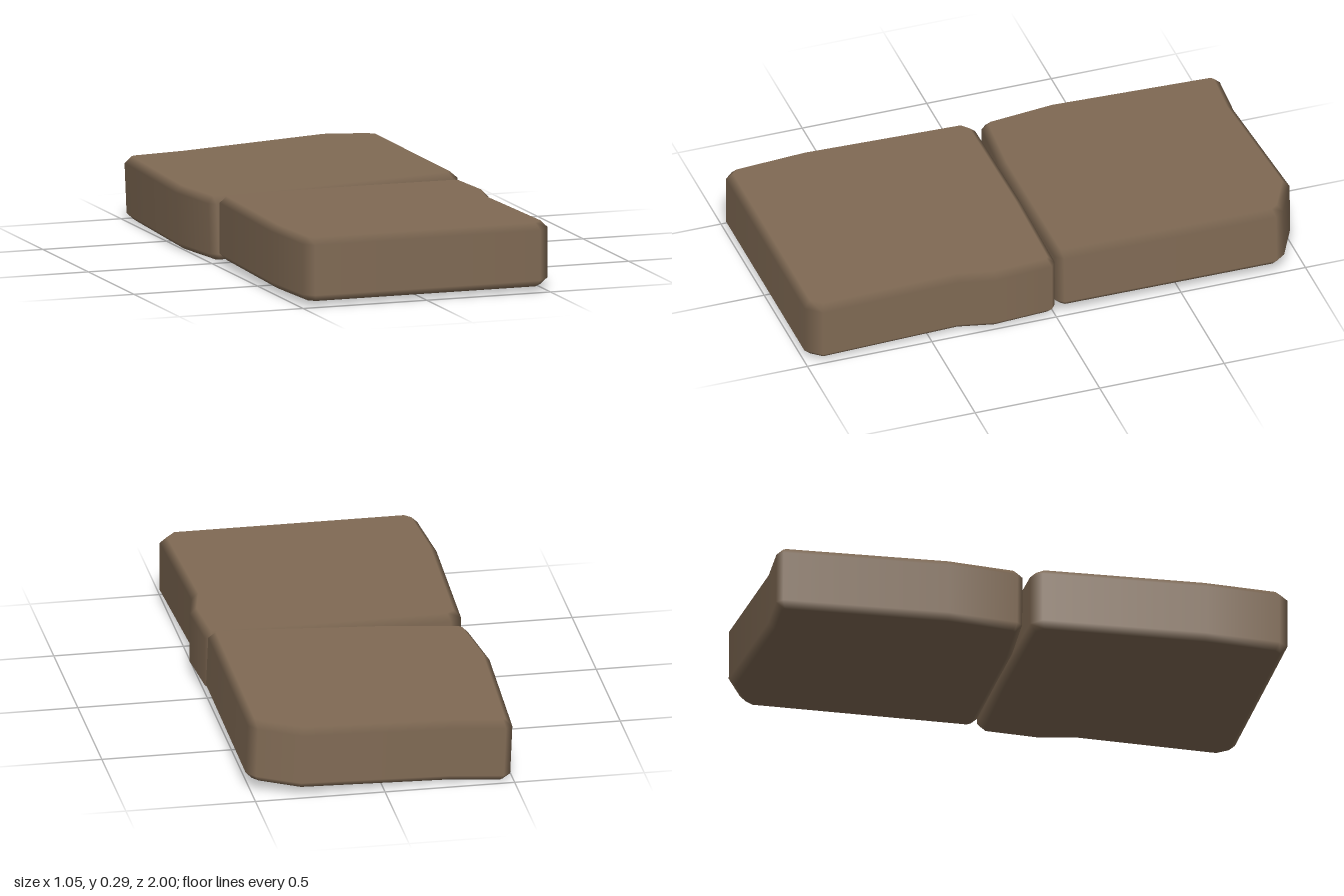
import * as THREE from 'three';

const BEVEL = 0.026;

// Outward normals and miter directions for a closed [x, z] outline
function outlineNormals(pts) {
  const n = pts.length;
  const edges = pts.map((p, i) => {
    const q = pts[(i + 1) % n];
    const e = new THREE.Vector2(q[1] - p[1], p[0] - q[0]);
    return { normal: e.clone().normalize(), length: e.length() };
  });
  return pts.map((_, i) => {
    const a = edges[(i + n - 1) % n], b = edges[i];
    const miter = a.normal.clone().add(b.normal);
    miter.multiplyScalar(2 / miter.lengthSq());
    const smooth = a.normal.clone().multiplyScalar(a.length)
      .addScaledVector(b.normal, b.length).normalize();
    return { miter, smooth };
  });
}

// Stone slab: irregular outline with a soft bevel around top and bottom
function slabGeometry(pts, height) {
  const n = pts.length, h = height / 2;
  const normals = outlineNormals(pts);
  const rings = [
    { y: -h, inset: BEVEL, up: -1 },
    { y: -h + BEVEL, inset: 0, up: 0 },
    { y: h - BEVEL, inset: 0, up: 0 },
    { y: h, inset: BEVEL, up: 1 },
  ];
  const pos = [], nor = [], index = [];
  for (const { y, inset, up } of rings) {
    pts.forEach(([x, z], i) => {
      const { miter, smooth } = normals[i];
      pos.push(x - miter.x * inset, y, z - miter.y * inset);
      if (up) nor.push(0, up, 0);
      else nor.push(smooth.x, 0, smooth.y);
    });
  }
  for (let k = 0; k < 3; k++) {
    for (let i = 0; i < n; i++) {
      const j = (i + 1) % n;
      const a = k * n + i, b = k * n + j, c = b + n, d = a + n;
      index.push(a, c, b, a, d, c);
    }
  }
  // Flat caps
  const cap = pts.map((_, i) => new THREE.Vector2(pos[i * 3], pos[i * 3 + 2]));
  for (const [a, b, c] of THREE.ShapeUtils.triangulateShape(cap, [])) {
    index.push(a, b, c, 3 * n + a, 3 * n + c, 3 * n + b);
  }
  const g = new THREE.BufferGeometry();
  g.setAttribute('position', new THREE.Float32BufferAttribute(pos, 3));
  g.setAttribute('normal', new THREE.Float32BufferAttribute(nor, 3));
  g.setIndex(index);
  return g;
}

export function createModel() {
  const group = new THREE.Group();
  group.name = 'pavingSlabs';
  const stone = new THREE.MeshStandardMaterial({ color: 0x806a54 });
  stone.name = 'brownStone';

  const slabs = [
    // Level slab at the front
    { name: 'frontSlab', y: 0.145, tilt: 0, outline: [
      [-0.485, 0.04], [-0.44, 0.0], [0.08, -0.008], [0.48, 0.0], [0.507, 0.02],
      [0.522, 0.25], [0.49, 0.39], [0.51, 0.94], [0.46, 0.998],
      [-0.45, 0.998], [-0.487, 0.96], [-0.508, 0.67]] },
    // Slightly tilted slab at the back
    { name: 'backSlab', y: 0.146, tilt: 0.043, outline: [
      [-0.493, -0.97], [-0.465, -0.992], [-0.26, -0.976], [0.32, -1.0],
      [0.48, -0.92], [0.512, -0.88], [0.507, -0.03], [0.48, 0.0],
      [-0.18, -0.01], [-0.465, -0.035], [-0.49, -0.06], [-0.523, -0.33]] },
  ];
  for (const s of slabs) {
    const mesh = new THREE.Mesh(slabGeometry(s.outline, 0.246), stone);
    mesh.name = s.name;
    mesh.position.y = s.y;
    mesh.rotation.z = s.tilt;
    group.add(mesh);
  }
  return group;
}
